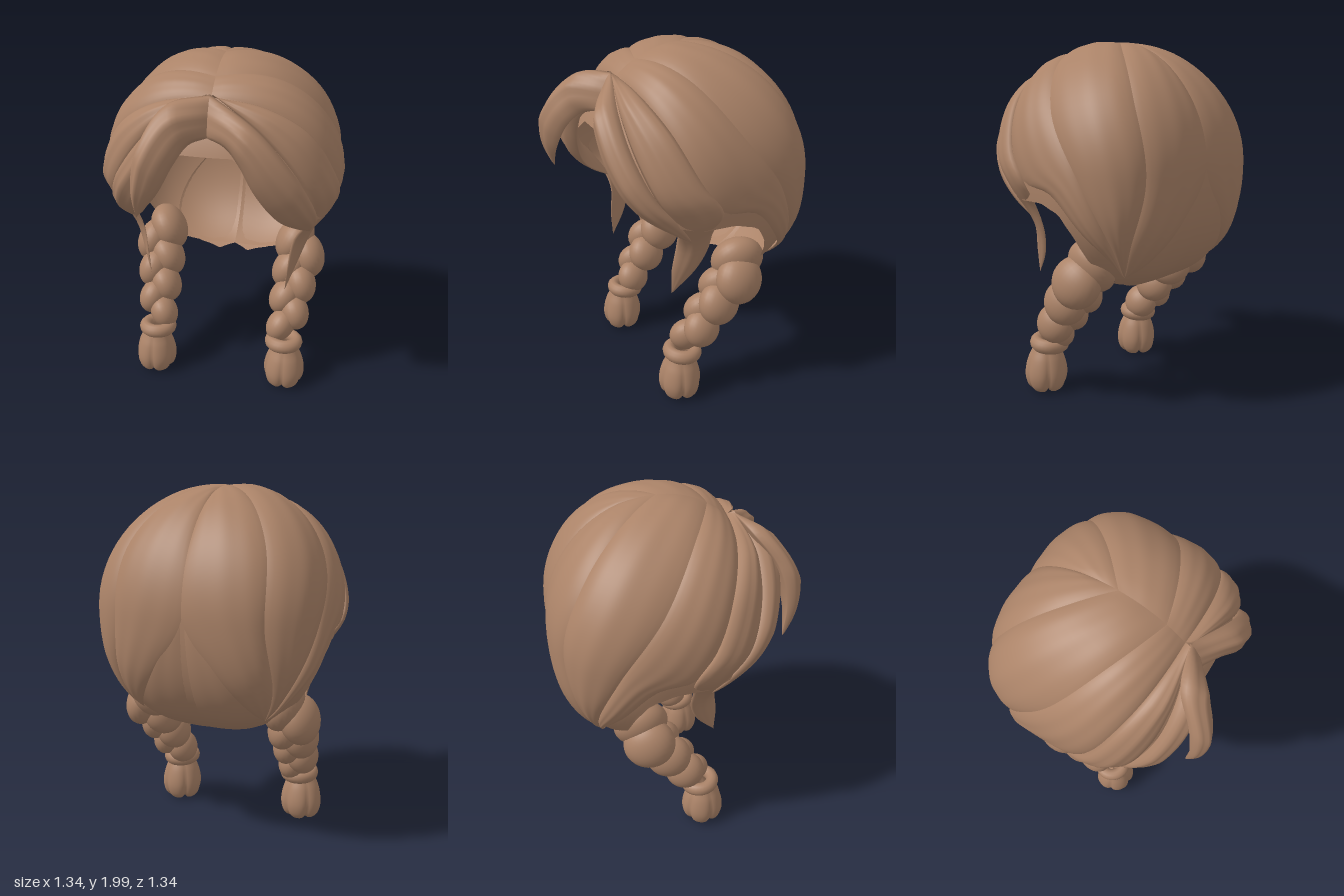
import * as THREE from 'three';

const V = (p) => new THREE.Vector3(...p);
const C = V([0, 1.32, -0.03]);          // middle of the head
const A = 0.655, BACK = 0.635, FRONT = 0.585, UP = 0.676, DOWN = 0.72;
const power = (y) => (y > 0 ? 2 : 2.4); // fuller below the middle

// Rounded-box ellipsoid measure: 1 on the head surface
function headNorm(p) {
  const front = p.z > C.z, n = front ? 2.5 : 3, m = power(p.y - C.y);
  const x = Math.abs(p.x - C.x) / A;
  const z = Math.abs(p.z - C.z) / (front ? FRONT : BACK);
  const y = Math.abs(p.y - C.y) / (p.y > C.y ? UP : DOWN);
  return ((x ** n + z ** n) ** (m / n) + y ** m) ** (1 / m);
}
function project(p, k) {
  const d = p.clone().sub(C);
  return d.multiplyScalar(k / headNorm(p)).add(C);
}
const laid = (pts, k) => pts.map((p) => project(V(p), k).toArray());
const mirror = (pts, s) => pts.map(([x, y, z]) => [x * s, y, z]);

// Grid surface from a rule fn(u, v); v may wrap round
function grid(nu, nv, fn, wrap) {
  const pos = [], idx = [], cols = wrap ? nv : nv + 1;
  for (let i = 0; i <= nu; i++)
    for (let j = 0; j < cols; j++) pos.push(...fn(i / nu, j / nv).toArray());
  for (let i = 0; i < nu; i++)
    for (let j = 0; j < nv; j++) {
      const a = i * cols + j, b = i * cols + ((j + 1) % cols);
      idx.push(a, a + cols, b, b, a + cols, b + cols);
    }
  const g = new THREE.BufferGeometry();
  g.setAttribute('position', new THREE.Float32BufferAttribute(pos, 3));
  g.setIndex(idx);
  g.computeVertexNormals();
  return g;
}
const curve = (pts) => new THREE.CatmullRomCurve3(pts.map(V), false, 'centripetal');
const swell = (s) => Math.sin(Math.PI * s) ** 0.7 * (1 - 0.06 * Math.cos(6 * Math.PI * s));

// Clump lying on the head between two seams
function clump(a, b, k, bulge) {
  const ca = curve(a), cb = curve(b);
  return grid(36, 24, (t, s) => {
    const p = ca.getPointAt(t).lerp(cb.getPointAt(t), s);
    const rise = Math.min(1, t * 6) ** 0.5 * Math.min(1, (1 - t) * 4) ** 0.7;
    return project(p, k + bulge * rise * swell(s));
  });
}

// Free lock with a lens section between two edges
function lock(a, b, bulge) {
  const ca = curve(a), cb = curve(b), half = 14;
  return grid(36, half * 2, (t, v) => {
    const s = v <= 0.5 ? v * 2 : 2 - v * 2;
    const p = ca.getPointAt(t).lerp(cb.getPointAt(t), s);
    const n = new THREE.Vector3(p.x, (p.y - C.y) * 0.5, p.z - C.z).normalize();
    const rise = Math.min(1, 0.25 + t * 4) * Math.min(1, (1 - t) * 2.2) ** 0.8;
    const side = v <= 0.5 ? swell(s) : -0.2 * Math.sin(Math.PI * s);
    return p.addScaledVector(n, bulge * rise * side);
  }, true);
}

// Lower rim of the under layer: [degrees from the front, height]
const RIM = [[0, 1.6], [15, 1.6], [28, 1.5], [42, 1.34], [54, 1.2], [75, 1.14], [92, 1.15],
  [104, 1.11], [111, 1.0], [118, 0.84], [128, 0.73], [142, 0.66], [160, 0.635], [180, 0.655]];
function rim(deg) {
  const i = Math.max(1, RIM.findIndex((r) => r[0] >= deg));
  const [a, b] = [RIM[i - 1], RIM[i]];
  return a[1] + (b[1] - a[1]) * (deg - a[0]) / (b[0] - a[0]);
}
const smooth = THREE.MathUtils.smoothstep;

// Under layer, sunk beneath the fringe
function underLayer() {
  return grid(40, 120, (t, v) => {
    const az = v * Math.PI * 2, deg = Math.min(180, Math.abs((v > 0.5 ? v - 1 : v) * 360));
    const e = rim(deg) - C.y;
    const y = Math.cos(t * Math.acos(e / (e > 0 ? UP : DOWN))), m = power(y);
    const r = Math.max(1e-4, (1 - Math.abs(y) ** m) ** (1 / m));
    const ring = project(V([Math.sin(az), C.y, C.z + Math.cos(az)]), 1).sub(C).multiplyScalar(r);
    const k = 0.975 - 0.045 * smooth(t, 0.2, 0.5) * (1 - smooth(deg, 75, 110));
    return V([ring.x, y * (y > 0 ? UP : DOWN), ring.z]).multiplyScalar(k).add(C);
  }, true);
}

// Seams on the +x half
const TIP = [0.41, 0.69, -0.46];
const FRINGE = [[0, 1.87, 0.34], [0.25, 1.8, 0.31], [0.45, 1.65, 0.24], [0.58, 1.42, 0.14], [0.61, 1.27, 0.04]];
const SEAMS = [
  [...FRINGE, [0.62, 1.22, -0.15], [0.55, 1.05, -0.3], [0.5, 0.88, -0.42], TIP],
  [[0, 1.93, 0.22], [0.3, 1.88, 0.1], [0.55, 1.6, -0.1], [0.62, 1.3, -0.33], [0.52, 0.95, -0.46], TIP],
  [[0, 2, -0.05], [0.2, 1.95, -0.25], [0.38, 1.7, -0.48], [0.42, 1.3, -0.6], [0.45, 0.95, -0.53], TIP],
  [[0, 1.97, -0.25], [0, 1.75, -0.52], [0, 1.33, -0.68], [0.15, 1.08, -0.66], [0.3, 0.86, -0.57], TIP],
];
const NAPE = [
  [[0, 1.4, -0.66], [0, 1.0, -0.6], [0, 0.8, -0.48], [0, 0.66, -0.33]],
  [[0.15, 1.25, -0.66], [0.35, 1.0, -0.55], [0.42, 0.8, -0.45], [0.34, 0.66, -0.31]],
];
const SIDE_LOCK = [
  [...laid(FRINGE, 0.99), [0.555, 1.12, 0.05], [0.5, 0.98, 0.05], [0.45, 0.84, 0.1], [0.395, 0.7, 0.21]],
  [[0.02, 1.87, 0.36], [0.25, 1.72, 0.42], [0.41, 1.55, 0.42], [0.52, 1.35, 0.36], [0.52, 1.18, 0.25],
    [0.43, 1.02, 0.2], [0.405, 0.85, 0.215], [0.395, 0.7, 0.21]],
];
const FRONT_LOCK = [
  [[0, 1.87, 0.35], [0.25, 1.73, 0.43], [0.41, 1.55, 0.43], [0.52, 1.35, 0.36], [0.55, 1.18, 0.23], [0.5, 1.04, 0.13]],
  [[0, 1.67, 0.43], [0.1, 1.64, 0.47], [0.17, 1.56, 0.49], [0.25, 1.4, 0.47], [0.36, 1.22, 0.38], [0.5, 1.04, 0.13]],
];
const FLIP_LOCK = [
  [[0, 1.87, 0.35], [-0.2, 1.83, 0.42], [-0.3, 1.68, 0.54], [-0.345, 1.48, 0.59], [-0.34, 1.27, 0.58]],
  [[0, 1.67, 0.43], [-0.08, 1.65, 0.49], [-0.14, 1.57, 0.56], [-0.22, 1.42, 0.6], [-0.34, 1.27, 0.58]],
];

export function createModel() {
  const model = new THREE.Group();
  const hair = new THREE.MeshStandardMaterial({ color: 0xab8368, side: THREE.DoubleSide });
  hair.name = 'brown hair';
  const add = (name, geo, parent = model) => {
    const m = new THREE.Mesh(geo, hair);
    m.name = name;
    parent.add(m);
    return m;
  };

  add('underLayer', underLayer());
  add('flippedFringeLock', lock(...FLIP_LOCK, 0.1));

  for (const s of [1, -1]) {
    const side = s > 0 ? 'left' : 'right';
    const both = (pair) => pair.map((e) => mirror(e, s));

    // Crown clumps sweeping from the parting to the back
    for (let i = 0; i < 3; i++)
      add(side + 'CrownClump' + (i + 1), clump(...both([SEAMS[i], SEAMS[i + 1]]), 0.988, 0.034));
    add(side + 'NapeClump', clump(...both(NAPE), 0.968, 0.025));

    // Fringe
    add(side + 'SideLock', lock(...both(SIDE_LOCK), 0.05));
    add(side + 'FrontLock', lock(...both(FRONT_LOCK), 0.095));

    // Braid of alternating plump lobes
    const braid = new THREE.Group();
    braid.name = side + 'Braid';
    model.add(braid);
    const path = curve([[0.445 * s, 0.81, -0.21], [0.44 * s, 0.72, -0.17], [0.42 * s, 0.6, -0.07],
      [0.41 * s, 0.48, 0.01], [0.4 * s, 0.37, 0.09]]);
    for (let i = 0; i < 7; i++) {
      const t = i / 6, flip = i % 2 ? 1 : -1;
      const lobe = add('braidLobe', new THREE.SphereGeometry(1, 28, 18), braid);
      lobe.scale.set(0.108 - 0.026 * t, 0.15 - 0.045 * t, 0.155 - 0.05 * t);
      lobe.position.copy(path.getPointAt(t));
      lobe.position.x += flip * s * (0.045 - 0.012 * t);
      lobe.quaternion.setFromUnitVectors(V([0, 1, 0]), path.getTangentAt(t).negate());
      lobe.rotateZ(flip * s * 0.4);
    }

    // Hair tie
    const tie = add('hairTie', new THREE.TorusGeometry(0.077, 0.037, 12, 32), braid);
    tie.position.set(0.395 * s, 0.29, 0.14);
    tie.rotation.x = Math.PI / 2 - 0.1;
    tie.scale.z = 1.1;

    // Gathered tuft below the tie
    const profile = curve([[0.06, 0.3, 0], [0.082, 0.25, 0], [0.105, 0.2, 0], [0.122, 0.13, 0],
      [0.122, 0.08, 0], [0.105, 0.03, 0], [0.075, 0.008, 0], [0.035, 0.025, 0], [0.001, 0.07, 0]]);
    const tuft = add('braidTuft', grid(28, 60, (u, v) => {
      const p = profile.getPoint(u), a = v * Math.PI * 2;
      const dent = (1 - Math.abs(Math.sin(a * 2.5))) ** 2 * Math.min(1, u * 1.4);
      const r = p.x * (1 - 0.2 * dent);
      return V([Math.sin(a) * r, p.y + 0.02 * dent * smooth(u, 0.5, 0.75), Math.cos(a) * r]);
    }, true), braid);
    tuft.position.set(0.405 * s, 0, 0.16);
  }
  return model;
}
